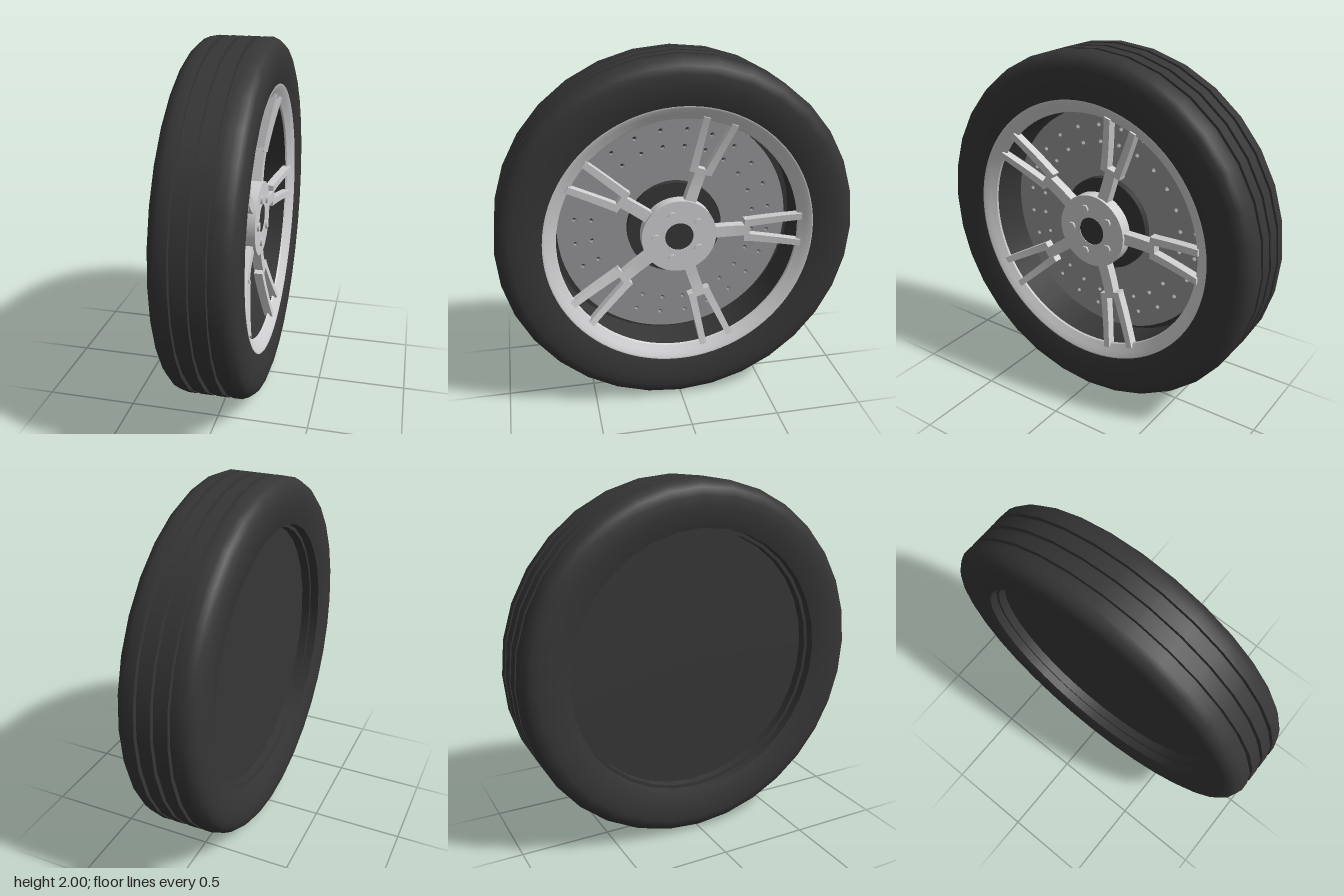
import * as THREE from 'three';

const rubber = new THREE.MeshStandardMaterial({ color: 0x363636 });
rubber.name = 'dark rubber';
const alloy = new THREE.MeshStandardMaterial({ color: 0xd0d0d2 });
alloy.name = 'light alloy';
const steel = new THREE.MeshStandardMaterial({ color: 0x969698 });
steel.name = 'brake steel';

const FIFTH = (Math.PI * 2) / 5;

function add(parent, name, geometry, material) {
  const mesh = new THREE.Mesh(geometry, material);
  mesh.name = name;
  parent.add(mesh);
  return mesh;
}

// Lathe around the axle (x); points are [radius, x], a repeated point makes a sharp edge
function lathe(points, segments) {
  const profile = points.map(([r, x]) => new THREE.Vector2(r, x));
  return new THREE.LatheGeometry(profile, segments).rotateZ(-Math.PI / 2);
}

const crease = (points) => points.flatMap((p) => [p, p]);

// Cylinder along the axle between two x positions
function axial(radius, x0, x1, segments) {
  return new THREE.CylinderGeometry(radius, radius, x1 - x0, segments)
    .rotateZ(-Math.PI / 2)
    .translate((x0 + x1) / 2, 0, 0);
}

// Flat ring with extra round holes, extruded along the axle
function plate(outer, holes, x0, x1) {
  const shape = new THREE.Shape().absarc(0, 0, outer, 0, Math.PI * 2, false);
  for (const [u, v, r] of holes) {
    shape.holes.push(new THREE.Path().absarc(u, v, r, 0, Math.PI * 2, true));
  }
  return new THREE.ExtrudeGeometry(shape, { depth: x1 - x0, bevelEnabled: false, curveSegments: 48 })
    .rotateY(Math.PI / 2)
    .translate(x0, 0, 0);
}

// Front surface of the spokes: low by the hub, sweeping outward to the rim
const spokeFront = (r) => 0.125 + 0.065 * Math.pow(Math.max(0, (r - 0.28) / 0.42), 1.5);

// Tapered bar along +y following the spoke curve; w = width, c = sideways centre
function bar(r0, r1, w0, w1, c0, c1, depth) {
  const g = new THREE.BoxGeometry(1, 1, 1, 1, 8, 1);
  const p = g.attributes.position;
  for (let i = 0; i < p.count; i++) {
    const t = p.getY(i) + 0.5;
    const r = THREE.MathUtils.lerp(r0, r1, t);
    const w = THREE.MathUtils.lerp(w0, w1, t);
    const c = THREE.MathUtils.lerp(c0, c1, t);
    p.setXYZ(i, spokeFront(r) + (p.getX(i) - 0.5) * depth, r, c + p.getZ(i) * w);
  }
  g.computeVertexNormals();
  return g;
}

export function createModel() {
  const root = new THREE.Group();
  root.name = 'wheel';
  const wheel = new THREE.Group();
  wheel.name = 'wheelAssembly';
  wheel.position.y = 1;
  root.add(wheel);

  // Tyre: rounded shoulders and three tread grooves
  const tread = [-0.09, 0, 0.09].flatMap((x) =>
    crease([[1, x - 0.011], [0.975, x - 0.011], [0.975, x + 0.011], [1, x + 0.011]]));
  const shoulder = [[0.75, 0.2], [0.8, 0.214], [0.86, 0.221], [0.92, 0.221], [0.96, 0.208], [0.985, 0.185], [1, 0.15]];
  const leftSide = shoulder.map(([r, x]) => [r, -x]);
  add(wheel, 'tyre', lathe([...leftSide, ...tread, ...shoulder.slice().reverse()], 32), rubber);

  // Barrel with the closed back wall and stepped rear opening
  add(wheel, 'barrel', lathe(crease([
    [0.705, 0.16], [0.705, -0.09], [0, -0.09], [0, -0.1],
    [0.73, -0.1], [0.73, -0.15], [0.75, -0.15], [0.75, -0.2],
  ]), 32), rubber);

  // Rim lip, dished inward
  add(wheel, 'rimLip', lathe([
    [0.735, 0.19], [0.752, 0.203], [0.752, 0.203], [0.742, 0.203], [0.715, 0.186],
    [0.68, 0.165], [0.68, 0.165], [0.675, 0.155], [0.675, 0.155], [0.71, 0.15],
  ], 96), alloy);

  // Drilled brake disc
  const holes = [[0, 0, 0.2]];
  for (let i = 0; i < 24; i++) {
    const a = THREE.MathUtils.degToRad(7 + i * 15);
    for (const r of [0.47, 0.565]) holes.push([Math.cos(a) * r, Math.sin(a) * r, 0.012]);
  }
  add(wheel, 'brakeDisc', plate(0.66, holes, -0.06, -0.03), steel);
  add(wheel, 'brakeDrum', axial(0.27, -0.09, 0.01, 48), rubber);

  // Hub with dark centre cap
  add(wheel, 'hub', plate(0.21, [[0, 0, 0.08]], 0.07, 0.14), alloy);
  add(wheel, 'centreCap', axial(0.08, 0, 0.137, 32), rubber);

  const stem = bar(0.18, 0.4, 0.066, 0.062, 0, 0, 0.055);
  const yoke = bar(0.375, 0.405, 0.13, 0.13, 0, 0, 0.05);
  const bolt = axial(0.025, 0.13, 0.152, 6);
  for (let i = 0; i < 5; i++) {
    // Forked spoke
    const spoke = new THREE.Group();
    spoke.name = 'spoke' + (i + 1);
    spoke.rotation.x = i * FIFTH - Math.PI / 2;
    add(spoke, 'spokeStem', stem, alloy);
    add(spoke, 'spokeYoke', yoke, alloy);
    for (const s of [-1, 1]) {
      add(spoke, 'spokeProng', bar(0.39, 0.69, 0.043, 0.036, s * 0.043, s * 0.081, 0.05), alloy);
    }
    wheel.add(spoke);

    // Wheel bolt between the spokes
    const a = (i + 0.5) * FIFTH;
    add(wheel, 'wheelBolt', bolt, alloy).position.set(0, Math.sin(a) * 0.133, -Math.cos(a) * 0.133);
  }
  return root;
}
